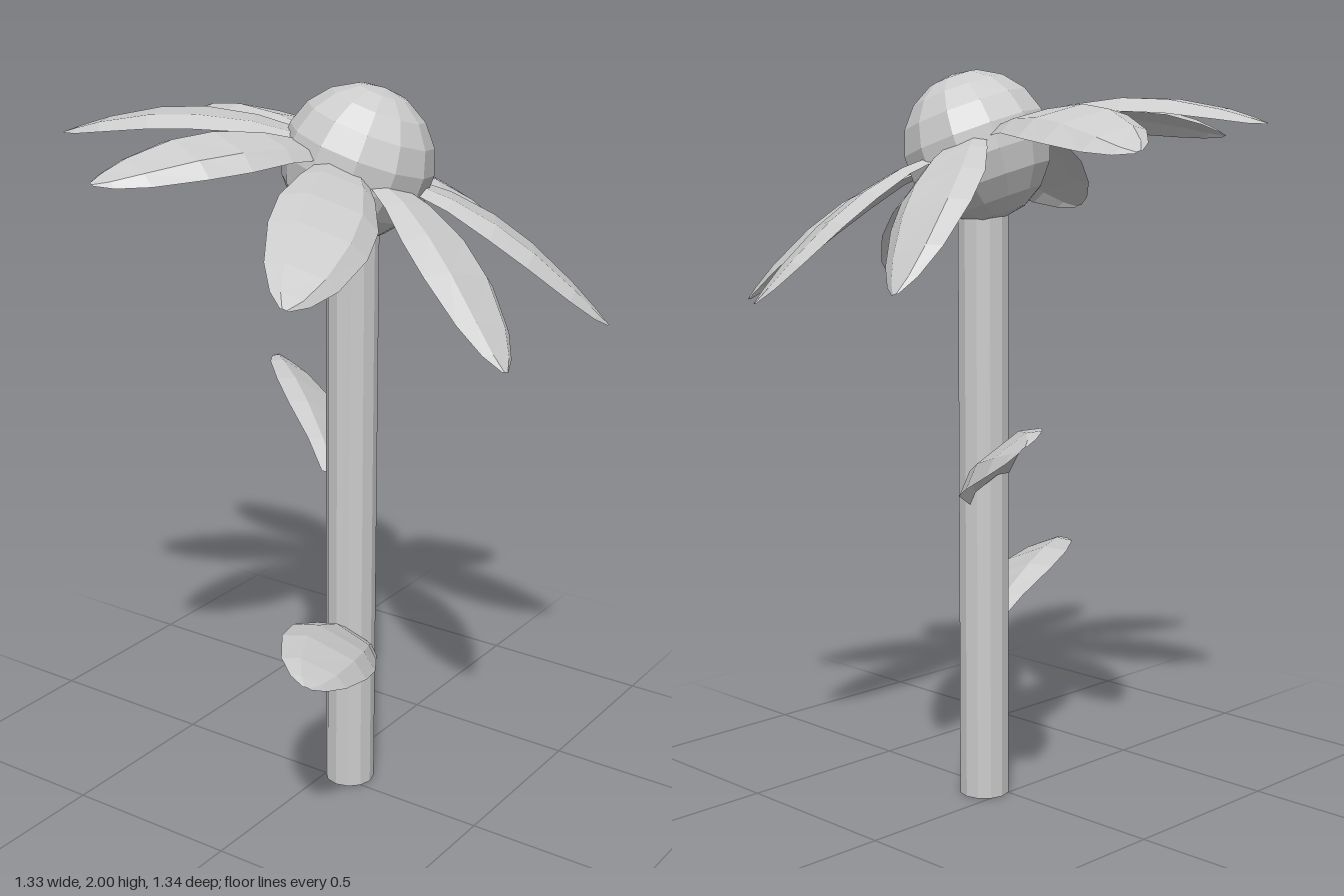
import * as THREE from 'three';

const V = (x, y, z) => new THREE.Vector3(x, y, z);
const material = new THREE.MeshStandardMaterial({ color: 0xcccccc, flatShading: true });
const thinMaterial = material.clone();
thinMaterial.side = THREE.DoubleSide;

// Stations along a blade: [position 0..1, half width]
const PROFILE = [[0, 0.07], [0.17, 0.097], [0.4, 0.127], [0.6, 0.125], [0.82, 0.092], [0.94, 0.05], [1, 0.01]];
// Positions across a blade: [fraction of half width, drop as a fraction of half width]
const ACROSS = [[-1, 0.3], [-0.6, 0.06], [0.5, 0.04], [1, 0.3]];

// Thin curved blade from base to tip; bow offsets its middle, up sets its roll
function blade(name, base, tip, up, bow) {
  const mid = base.clone().lerp(tip, 0.5).addScaledVector(bow, 2);
  const curve = new THREE.QuadraticBezierCurve3(base, mid, tip);
  const positions = [], index = [];
  const n = ACROSS.length;
  PROFILE.forEach(([t, half], i) => {
    const tangent = curve.getTangent(t);
    const side = tangent.clone().cross(up).normalize();
    const normal = side.clone().cross(tangent).normalize();
    ACROSS.forEach(([s, drop], j) => {
      const p = curve.getPoint(t).addScaledVector(side, s * half).addScaledVector(normal, -drop * half);
      positions.push(p.x, p.y, p.z);
      if (i && j) {
        const d = i * n + j, c = d - 1, b = d - n, a = b - 1;
        index.push(a, b, d, a, d, c);
      }
    });
  });
  const geometry = new THREE.BufferGeometry();
  geometry.setAttribute('position', new THREE.Float32BufferAttribute(positions, 3));
  geometry.setIndex(index);
  geometry.computeVertexNormals();
  const mesh = new THREE.Mesh(geometry, thinMaterial);
  mesh.name = name;
  return mesh;
}

export function createModel() {
  const model = new THREE.Group();
  model.name = 'flower';

  // Stem
  const stem = new THREE.Mesh(new THREE.CylinderGeometry(0.07, 0.07, 1.64, 12), material);
  stem.name = 'stem';
  stem.position.set(0.06, 0.82, -0.034);
  model.add(stem);

  // Tilted flower head
  const center = V(0.063, 1.8, -0.052);
  const axis = V(0.3, 1, -0.2).normalize();
  const head = new THREE.Mesh(new THREE.SphereGeometry(0.201, 12, 9), material);
  head.name = 'flowerHead';
  head.position.copy(center);
  head.quaternion.setFromUnitVectors(V(0, 1, 0), axis);
  model.add(head);

  // Ring of drooping petals: tip position, then sideways bow
  const petals = new THREE.Group();
  petals.name = 'petals';
  const tips = [
    [0.24, 1.41, -0.672, -0.015], [0.637, 1.38, -0.385, 0], [0.664, 1.41, 0.21, 0.03], [0.35, 1.62, 0.667, 0.032],
    [-0.225, 1.83, 0.65, 0.028], [-0.623, 1.86, 0.305, 0.005], [-0.665, 1.79, -0.25, 0], [-0.265, 1.46, -0.652, 0],
  ];
  for (const [x, y, z, sway] of tips) {
    const out = V(x - center.x, 0, z - center.z).normalize();
    const base = center.clone().addScaledVector(out, 0.16);
    base.y += 0.015 - 0.06 * out.x + 0.03 * out.z;
    const bow = axis.clone().cross(out).multiplyScalar(sway);
    bow.y += 0.06;
    petals.add(blade('petal', base, V(x, y, z), axis, bow));
  }
  model.add(petals);

  // Two rolled leaves on the stem
  model.add(blade('lowerLeaf', V(0.11, 0.475, -0.01), V(0.31, 0.605, 0.53), V(0.42, 1, 0), V(0, 0.06, 0)));
  model.add(blade('upperLeaf', V(0.0, 0.9, -0.09), V(-0.46, 1.09, -0.42), V(0, 1, -0.75), V(0.02, 0.045, -0.025)));
  return model;
}
